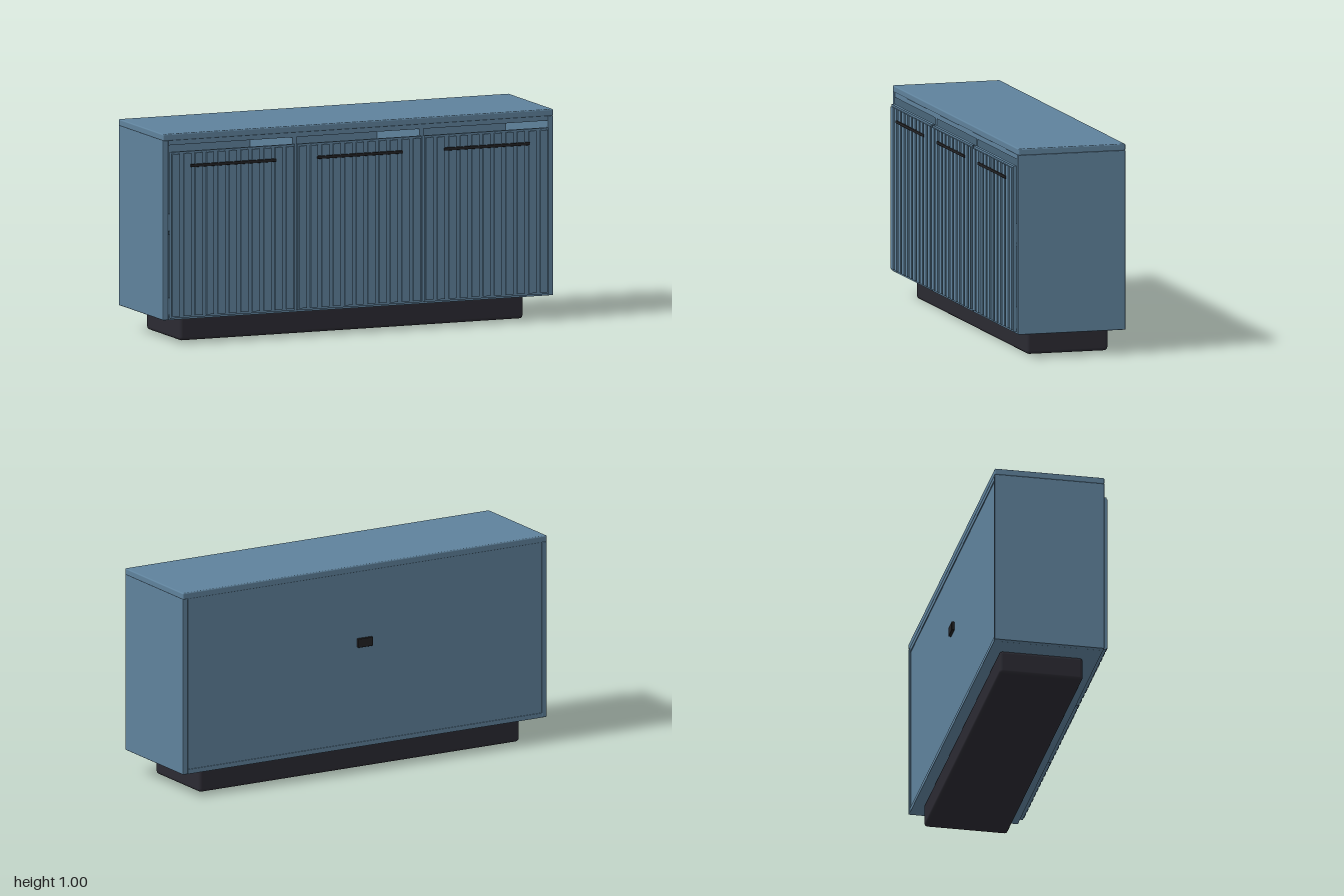
import * as THREE from 'three';
import { RoundedBoxGeometry } from 'three/addons/geometries/RoundedBoxGeometry.js';

export function createModel() {
  const model = new THREE.Group();
  model.name = 'sideboard';
  const blue = new THREE.MeshStandardMaterial({ name: 'bluePaint', color: 0x5f829c });
  const charcoal = new THREE.MeshStandardMaterial({ name: 'charcoalPlinth', color: 0x2b2a32 });
  const black = new THREE.MeshStandardMaterial({ name: 'blackMetal', color: 0x222224 });

  // Box given by its limits on each axis, with optionally rounded edges
  function box(parent, name, material, [x0, x1], [y0, y1], [z0, z1], radius = 0) {
    const size = [x1 - x0, y1 - y0, z1 - z0];
    const geometry = radius
      ? new RoundedBoxGeometry(...size, 3, radius)
      : new THREE.BoxGeometry(...size);
    const mesh = new THREE.Mesh(geometry, material);
    mesh.name = name;
    mesh.position.set((x0 + x1) / 2, (y0 + y1) / 2, (z0 + z1) / 2);
    parent.add(mesh);
    return mesh;
  }

  // Plinth
  box(model, 'plinth', charcoal, [-0.88, 0.88], [0, 0.115], [-0.223, 0.177], 0.016);

  // Carcass
  const depth = [-0.272, 0.255];
  const carcass = new THREE.Group();
  carcass.name = 'carcass';
  model.add(carcass);
  box(carcass, 'topSlab', blue, [-1, 1], [0.968, 1], depth, 0.006);
  box(carcass, 'topRail', blue, [-0.972, 0.972], [0.946, 0.97], [-0.27, 0.252]);
  box(carcass, 'bottomPanel', blue, [-0.975, 0.975], [0.115, 0.137], [-0.27, 0.252]);
  box(carcass, 'backPanel', blue, [-0.975, 0.975], [0.134, 0.95], [-0.266, -0.25]);
  for (const side of [-1, 1]) {
    const sidePanel = box(carcass, 'sidePanel', blue, [0.972, 1], [0.115, 0.97], depth, 0.004);
    sidePanel.position.x *= side;
    const divider = box(carcass, 'divider', blue, [0.315, 0.335], [0.135, 0.95], [-0.252, 0.25]);
    divider.position.x *= side;
  }
  box(carcass, 'shelf', blue, [-0.975, 0.975], [0.515, 0.535], [-0.252, 0.23]);

  // Three slatted doors, each with a long bar handle
  const slatPitch = 0.0585;
  for (const x of [-0.65, 0, 0.65]) {
    const door = new THREE.Group();
    door.name = 'door';
    door.position.x = x;
    model.add(door);
    box(door, 'doorPanel', blue, [-0.317, 0.317], [0.125, 0.915], [0.254, 0.27]);
    for (let i = -5; i <= 5; i++) {
      const c = i * slatPitch;
      box(door, 'slat', blue, [c - 0.019, c + 0.019], [0.134, 0.906], [0.268, 0.277]);
    }
    box(door, 'handle', black, [-0.22, 0.22], [0.839, 0.854], [0.27, 0.281], 0.003);
  }

  // Cable outlet on the back
  box(model, 'cableOutlet', black, [-0.04, 0.04], [0.6, 0.643], [-0.28, -0.262], 0.002);

  return model;
}
